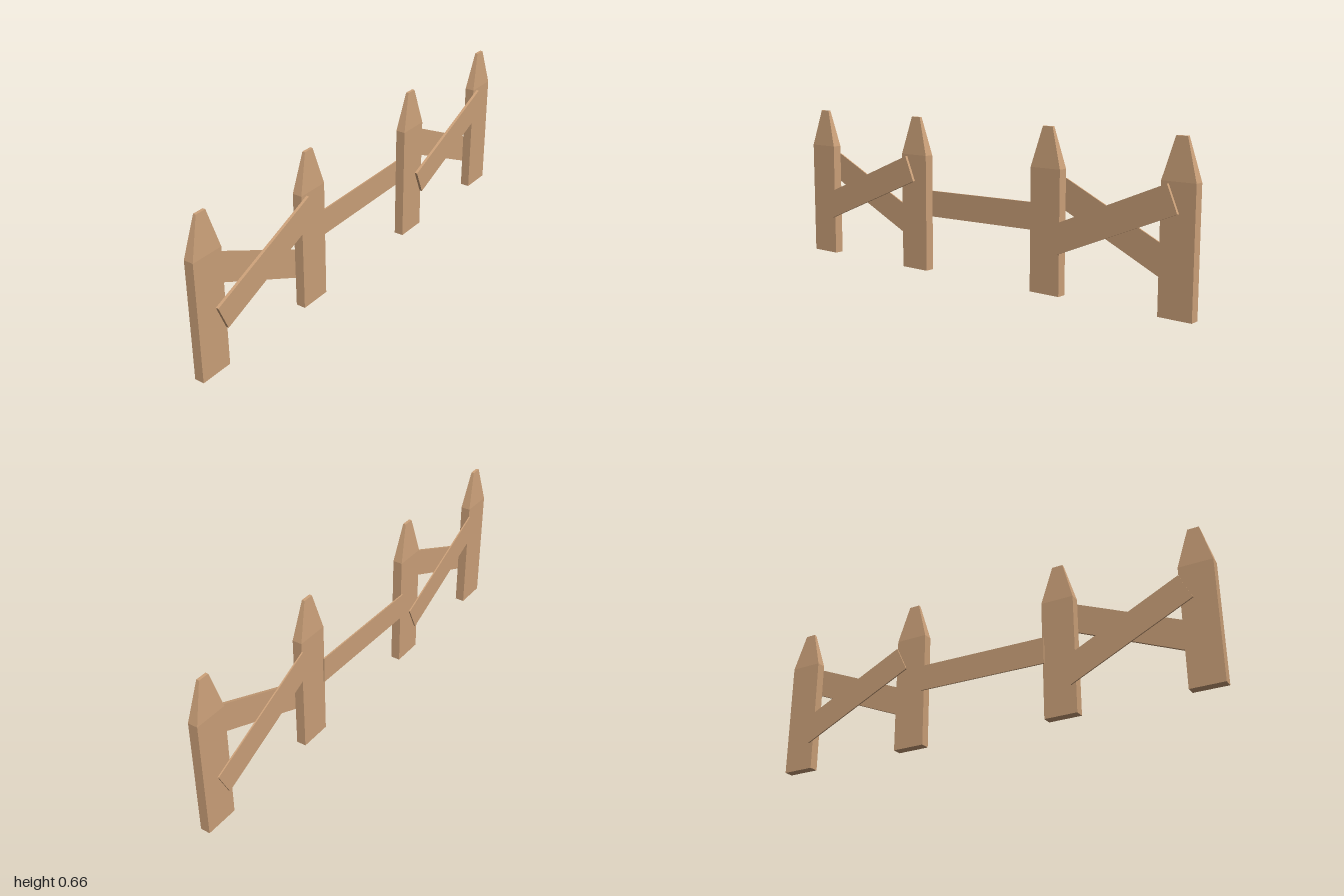
import * as THREE from 'three';

const wood = new THREE.MeshStandardMaterial({ color: 0xcda27a, flatShading: true });

const POST = { width: 0.14, depth: 0.041, shoulder: 0.5, height: 0.662, x: -0.0045 };

// Pointed post: a box whose middle ring is the shoulder and whose top ring is pinched in
function makePost(z) {
  const geo = new THREE.BoxGeometry(POST.depth, 2, POST.width, 1, 2, 1);
  const p = geo.attributes.position;
  for (let i = 0; i < p.count; i++) {
    const y = p.getY(i);
    if (y > 0.5) {
      p.setXYZ(i, p.getX(i) * 0.29, POST.height, p.getZ(i) * 0.33);
    } else {
      p.setY(i, y < -0.5 ? 0 : POST.shoulder);
    }
  }
  geo.computeVertexNormals();
  const post = new THREE.Mesh(geo, wood);
  post.name = 'post';
  post.position.set(POST.x, 0, z);
  return post;
}

// Plank whose centre line runs from (z0, y0) to (z1, y1), between two x planes
function makePlank(name, x0, x1, height, [z0, y0], [z1, y1]) {
  const dz = z1 - z0, dy = y1 - y0;
  const geo = new THREE.BoxGeometry(x1 - x0, height, Math.hypot(dz, dy));
  const plank = new THREE.Mesh(geo, wood);
  plank.name = name;
  plank.position.set((x0 + x1) / 2, (y0 + y1) / 2, (z0 + z1) / 2);
  plank.rotation.x = -Math.atan2(dy, dz);
  return plank;
}

export function createModel() {
  const fence = new THREE.Group();
  fence.name = 'fence';

  // Two matching panels, each with two posts and a crossed pair of planks
  for (const z of [0.64, -0.64]) {
    const panel = new THREE.Group();
    panel.name = 'crossedPanel';
    panel.position.z = z;
    panel.add(
      makePost(0.29),
      makePost(-0.29),
      makePlank('leftDiagonalPlank', 0.016, 0.028, 0.115, [-0.273, 0.439], [0.248, 0.221]),
      makePlank('rightDiagonalPlank', -0.031, -0.025, 0.116, [-0.265, 0.169], [0.245, 0.412])
    );
    fence.add(panel);
  }

  // Slightly tilted rail across the gap between the panels
  fence.add(makePlank('middleRail', -0.031, -0.025, 0.112, [-0.288, 0.297], [0.288, 0.289]));

  return fence;
}
